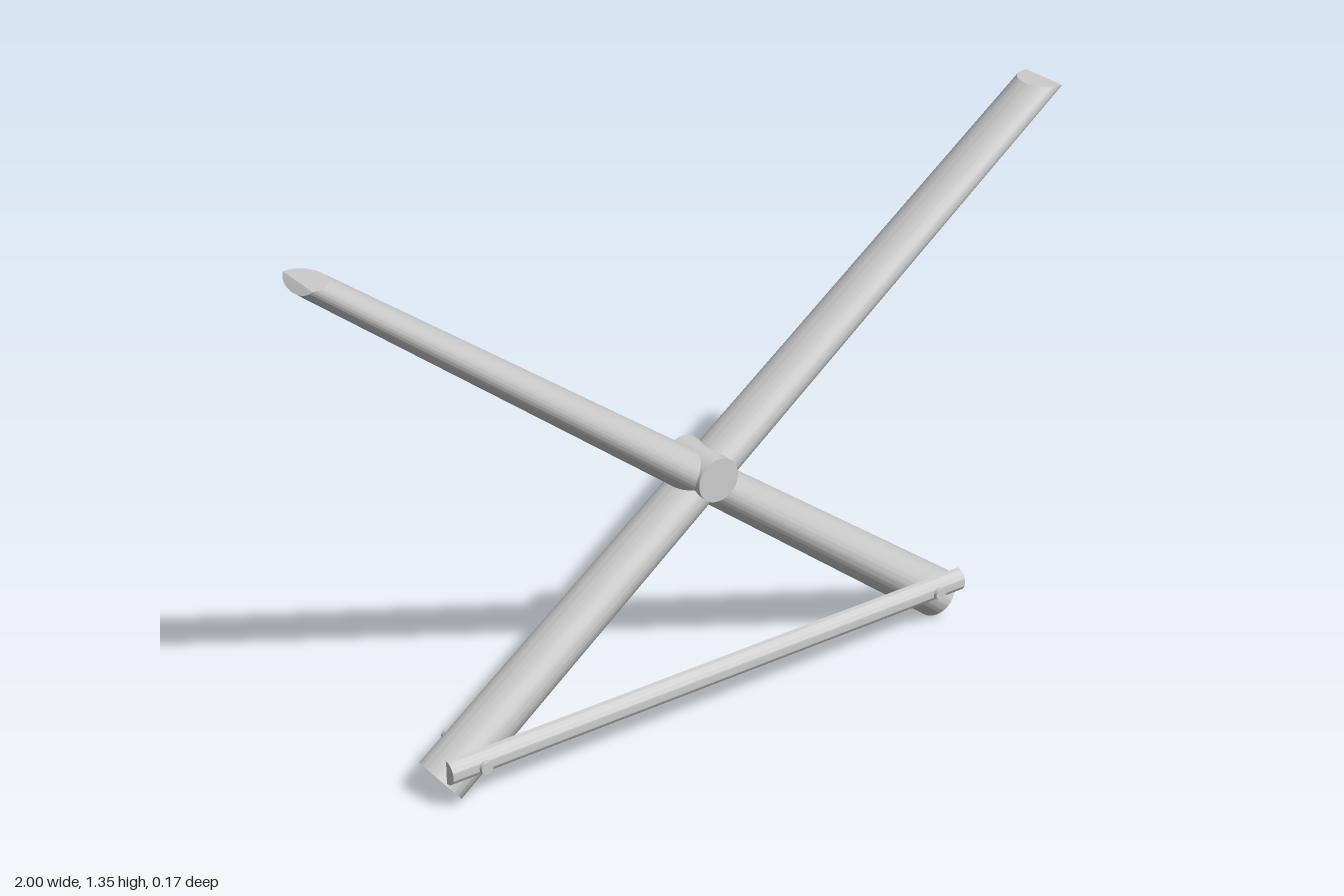
import * as THREE from 'three';
import { toCreasedNormals } from 'three/addons/utils/BufferGeometryUtils.js';

const grey = new THREE.MeshStandardMaterial({ color: 0xcccccc });
const LEG_Z = -0.0135; // plane shared by both legs
const LEG_TOP = 1.35; // height at which the legs are cut level

// Leg: a round foot flattening to a thin oval top, trimmed level at the top
function legGeometry() {
  const foot = new THREE.Vector2(-0.7165, 0.0495);
  const head = new THREE.Vector2(0.982, 1.355);
  const dir = head.clone().sub(foot).normalize();
  const side = new THREE.Vector2(dir.y, -dir.x);
  const halfWidth = 0.0625, footHalf = 0.0625, headHalf = 0.03;

  const geo = new THREE.CylinderGeometry(1, 1, 1, 64, 1);
  const pos = geo.attributes.position;
  for (let i = 0; i < pos.count; i++) {
    const a = pos.getX(i), c = pos.getZ(i);
    const low = foot.clone().addScaledVector(side, a * footHalf);
    const high = head.clone().addScaledVector(side, a * headHalf);
    let p = pos.getY(i) > 0 ? high : low;
    if (p === high && p.y > LEG_TOP) {
      const onAxis = Math.hypot(a, c) < 0.01;
      // the cap centre goes to the edge between end cap and level cut
      if (onAxis) p.addScaledVector(side, (LEG_TOP - p.y) / side.y);
      else p = low.lerp(high, (LEG_TOP - low.y) / (high.y - low.y));
    }
    pos.setXYZ(i, p.x, p.y, c * halfWidth);
  }
  return toCreasedNormals(geo, 0.5);
}

// Round pin lying along z
function pin(name, radius, back, front, x, y, sides) {
  const geo = new THREE.CylinderGeometry(radius, radius, front - back, sides);
  geo.rotateX(Math.PI / 2);
  const mesh = new THREE.Mesh(geo, grey);
  mesh.name = name;
  mesh.position.set(x, y, (front + back) / 2);
  return mesh;
}

export function createModel() {
  const model = new THREE.Group();
  model.name = 'crossedLegFrame';

  // Two crossed legs, one turned about to mirror the other
  const geo = legGeometry();
  ['legRisingLeft', 'legRisingRight'].forEach((name, i) => {
    const leg = new THREE.Mesh(geo, grey);
    leg.name = name;
    leg.position.z = LEG_Z;
    leg.rotation.y = i * Math.PI;
    model.add(leg);
  });

  // Pivot through the crossing
  model.add(pin('pivot', 0.054, -0.084, 0.058, 0, 0.621, 48));

  // Half-round crossbar with its flat side against the legs
  const section = new THREE.Shape();
  section.absarc(0, 0, 0.03, 0, Math.PI, false);
  section.closePath();
  const barGeo = new THREE.ExtrudeGeometry(section, { depth: 1.47, bevelEnabled: false, curveSegments: 24 });
  barGeo.translate(0, 0, -0.735);
  barGeo.rotateX(Math.PI / 2); // length upright, round side to +z
  barGeo.rotateZ(Math.PI / 2); // length along x
  const bar = new THREE.Mesh(toCreasedNormals(barGeo, 0.5), grey);
  bar.name = 'crossbar';
  bar.position.set(0, 0.112, 0.048);
  model.add(bar);

  // Bolts fixing the crossbar to the legs
  for (const s of [1, -1]) {
    model.add(pin(s > 0 ? 'leftBolt' : 'rightBolt', 0.0155, -0.0875, 0.0875, s * 0.652, 0.111, 24));
  }
  return model;
}
